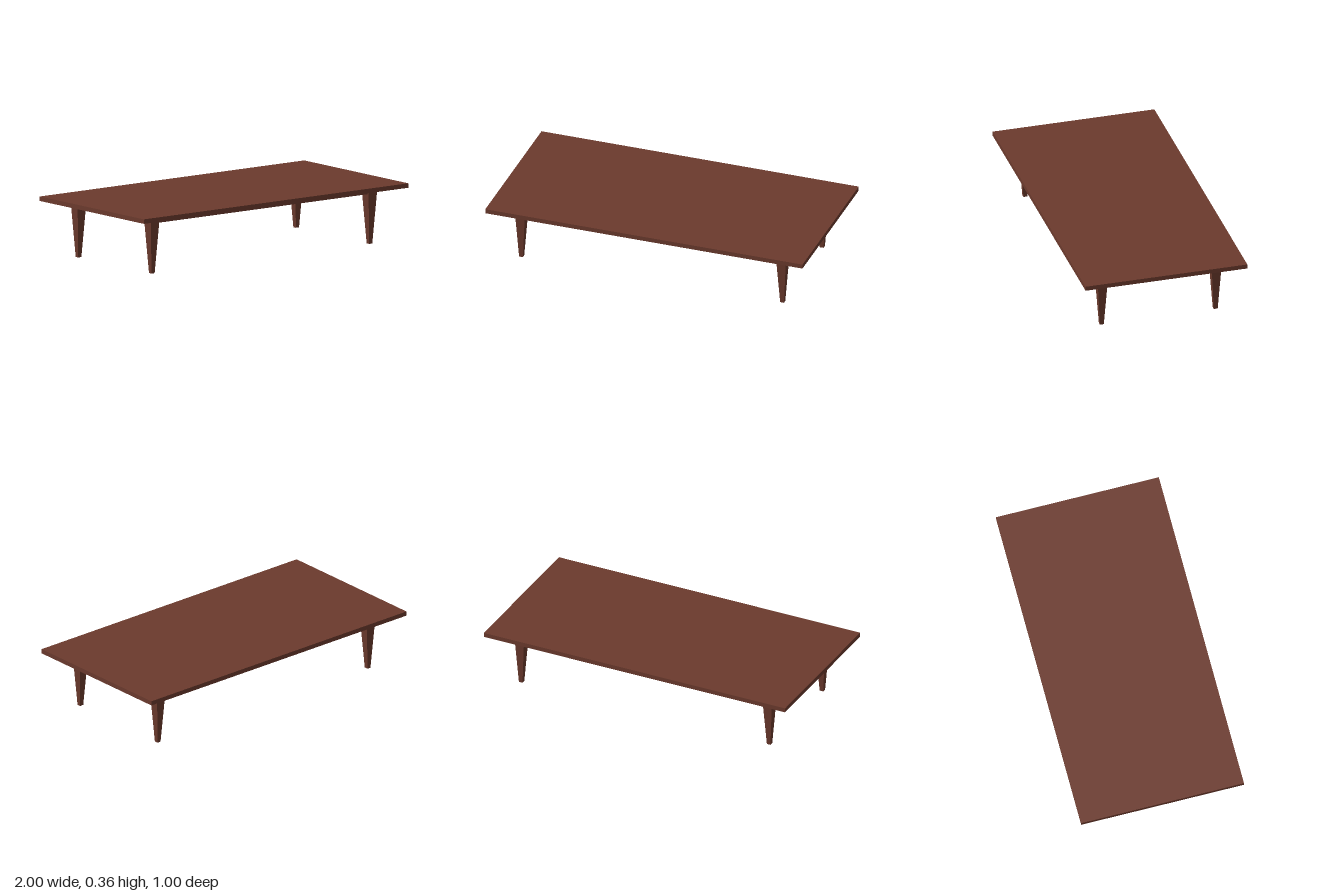
import * as THREE from 'three';

export function createModel() {
  const group = new THREE.Group();
  const wood = new THREE.MeshStandardMaterial({ color: 0x6b3a2d });
  wood.name = 'reddish brown wood';

  const TOP = 0.364, UNDER = 0.337, APRON_BOTTOM = 0.303;
  const LEG_X = 0.823, LEG_Z = 0.352, LEG_TOP = 0.067, LEG_FOOT = 0.024, APRON = 0.04;

  function box(name, w, h, d, x, y, z) {
    const mesh = new THREE.Mesh(new THREE.BoxGeometry(w, h, d), wood);
    mesh.name = name;
    mesh.position.set(x, y, z);
    group.add(mesh);
    return mesh;
  }

  // table top
  box('tableTop', 2, TOP - UNDER, 1, 0, (TOP + UNDER) / 2, 0);

  // aprons running between the legs
  const h = UNDER - APRON_BOTTOM, y = (UNDER + APRON_BOTTOM) / 2;
  for (const s of [1, -1]) {
    box(s > 0 ? 'frontApron' : 'backApron', 2 * LEG_X - LEG_TOP + 0.01, h, APRON, 0, y, s * LEG_Z);
    box(s > 0 ? 'leftApron' : 'rightApron', APRON, h, 2 * LEG_Z - LEG_TOP + 0.01, s * LEG_X, y, 0);
  }

  // square legs, tapered towards the foot
  for (const sx of [1, -1]) for (const sz of [1, -1]) {
    const name = (sz > 0 ? 'front' : 'back') + (sx > 0 ? 'Left' : 'Right') + 'Leg';
    const leg = box(name, LEG_TOP, UNDER, LEG_TOP, sx * LEG_X, UNDER / 2, sz * LEG_Z);
    const p = leg.geometry.attributes.position;
    const k = LEG_FOOT / LEG_TOP;
    for (let i = 0; i < p.count; i++) {
      if (p.getY(i) < 0) p.setXYZ(i, p.getX(i) * k, p.getY(i), p.getZ(i) * k);
    }
    leg.geometry.computeVertexNormals();
  }
  return group;
}
